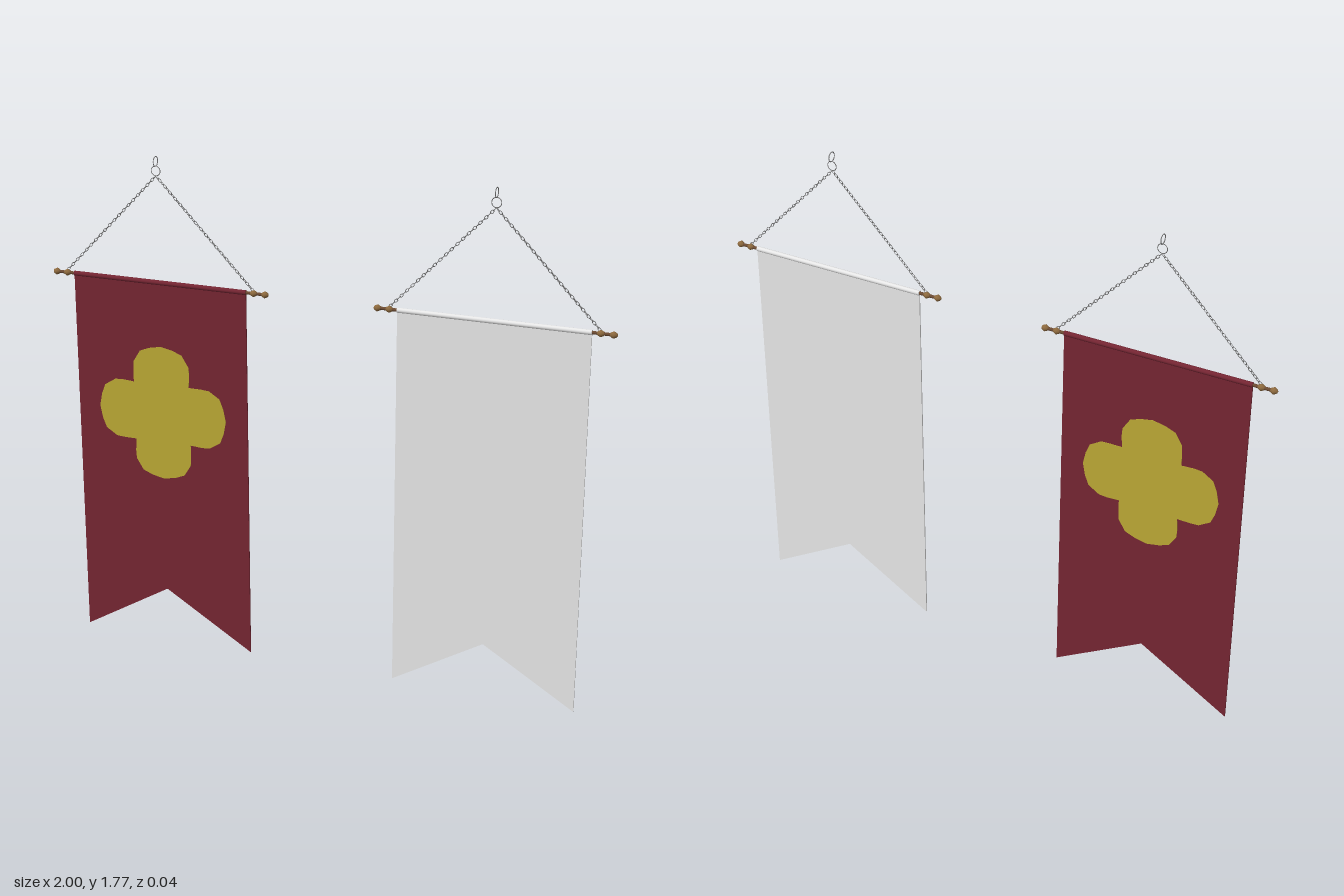
import * as THREE from 'three';

const mat = (name, color) => Object.assign(new THREE.MeshStandardMaterial({ color }), { name });

export function createModel() {
  const root = new THREE.Group();
  root.name = 'hangingBanners';

  const crimson = mat('crimson cloth', 0x742532);
  const plain = mat('plain cloth', 0xe7e7e7);
  const gold = mat('mustard emblem', 0xbaa834);
  const wood = mat('brown wood', 0x6b4a32);
  const brass = mat('brass finial', 0x8f6b3f);
  const steel = mat('steel', 0x777777);

  const ROD_Y = 1.332, HALF = 0.324;

  const add = (parent, name, geo, material, x = 0, y = 0, z = 0) => {
    const m = new THREE.Mesh(geo, material);
    m.name = name;
    m.position.set(x, y, z);
    parent.add(m);
    return m;
  };
  const slab = (points, depth) => new THREE.ExtrudeGeometry(
    new THREE.Shape(points.map(p => new THREE.Vector2(...p))), { depth, bevelEnabled: false }
  ).translate(0, 0, -depth / 2);

  // swallow-tailed cloth
  const clothGeo = slab([[-HALF, 0], [0, 0.192], [HALF, 0], [HALF, ROD_Y], [-HALF, ROD_Y]], 0.005);

  // four-lobed emblem: one half lobe, mirrored and turned around the centre
  const half = [[0.104, 0.107], [0.107, 0.15], [0.105, 0.18], [0.08, 0.22], [0.045, 0.234]];
  const lobe = [...half, [0, 0.243], ...half.slice(1).reverse().map(([x, y]) => [-x, y])];
  const outline = [];
  for (let i = 0; i < 4; i++) {
    const c = Math.round(Math.cos(i * Math.PI / 2)), s = Math.round(Math.sin(i * Math.PI / 2));
    for (const [x, y] of lobe) outline.push([x * c - y * s, x * s + y * c]);
  }
  const emblemGeo = slab(outline, 0.0075);

  // rod, sleeve and finials lie along x
  const along = (r, length, sides) =>
    new THREE.CylinderGeometry(r, r, length, sides).rotateZ(Math.PI / 2);
  const rodGeo = along(0.0055, 0.79, 12);
  const sleeveGeo = along(0.0085, HALF * 2, 12);
  const finialGeo = new THREE.LatheGeometry(
    [[0, -0.014], [0.007, -0.01], [0.012, 0], [0.007, 0.01], [0, 0.014]]
      .map(p => new THREE.Vector2(...p)), 12).rotateZ(Math.PI / 2);

  const ringGeo = new THREE.TorusGeometry(0.0165, 0.0014, 6, 20);
  const linkGeo = new THREE.TorusGeometry(0.0045, 0.0011, 4, 8).scale(1, 1.7, 1);

  // chain of alternating links from a rod end up to the ring
  const addChain = (parent, side) => {
    const chain = new THREE.Group();
    chain.name = side > 0 ? 'leftChain' : 'rightChain';
    const from = new THREE.Vector3(side * 0.352, ROD_Y + 0.008, 0);
    const to = new THREE.Vector3(0, 1.701, 0);
    const tilt = Math.atan2(from.x - to.x, to.y - from.y);
    const count = 38;
    for (let i = 0; i < count; i++) {
      const link = add(chain, 'chainLink', linkGeo, steel);
      link.position.lerpVectors(from, to, (i + 0.5) / count);
      link.rotation.set(0, (i % 2) * Math.PI / 2, tilt, 'ZYX');
    }
    parent.add(chain);
  };

  const buildBanner = (name, x, cloth, hasEmblem) => {
    const g = new THREE.Group();
    g.name = name;
    g.position.x = x;
    add(g, 'cloth', clothGeo, cloth);
    add(g, 'sleeve', sleeveGeo, cloth, 0, ROD_Y);
    add(g, 'rod', rodGeo, wood, 0, ROD_Y);
    if (hasEmblem) add(g, 'emblem', emblemGeo, gold, 0, 0.861);
    for (const side of [-1, 1]) {
      add(g, 'endFinial', finialGeo, brass, side * 0.393, ROD_Y);
      add(g, 'chainStop', finialGeo, brass, side * 0.352, ROD_Y);
      addChain(g, side);
    }
    // two interlocked hanging rings
    add(g, 'lowerRing', ringGeo, steel, 0, 1.718);
    add(g, 'upperRing', ringGeo, steel, 0, 1.75).rotation.y = Math.PI / 2;
    root.add(g);
  };

  buildBanner('emblemBanner', -0.593, crimson, true);
  buildBanner('plainBanner', 0.593, plain, false);
  return root;
}
